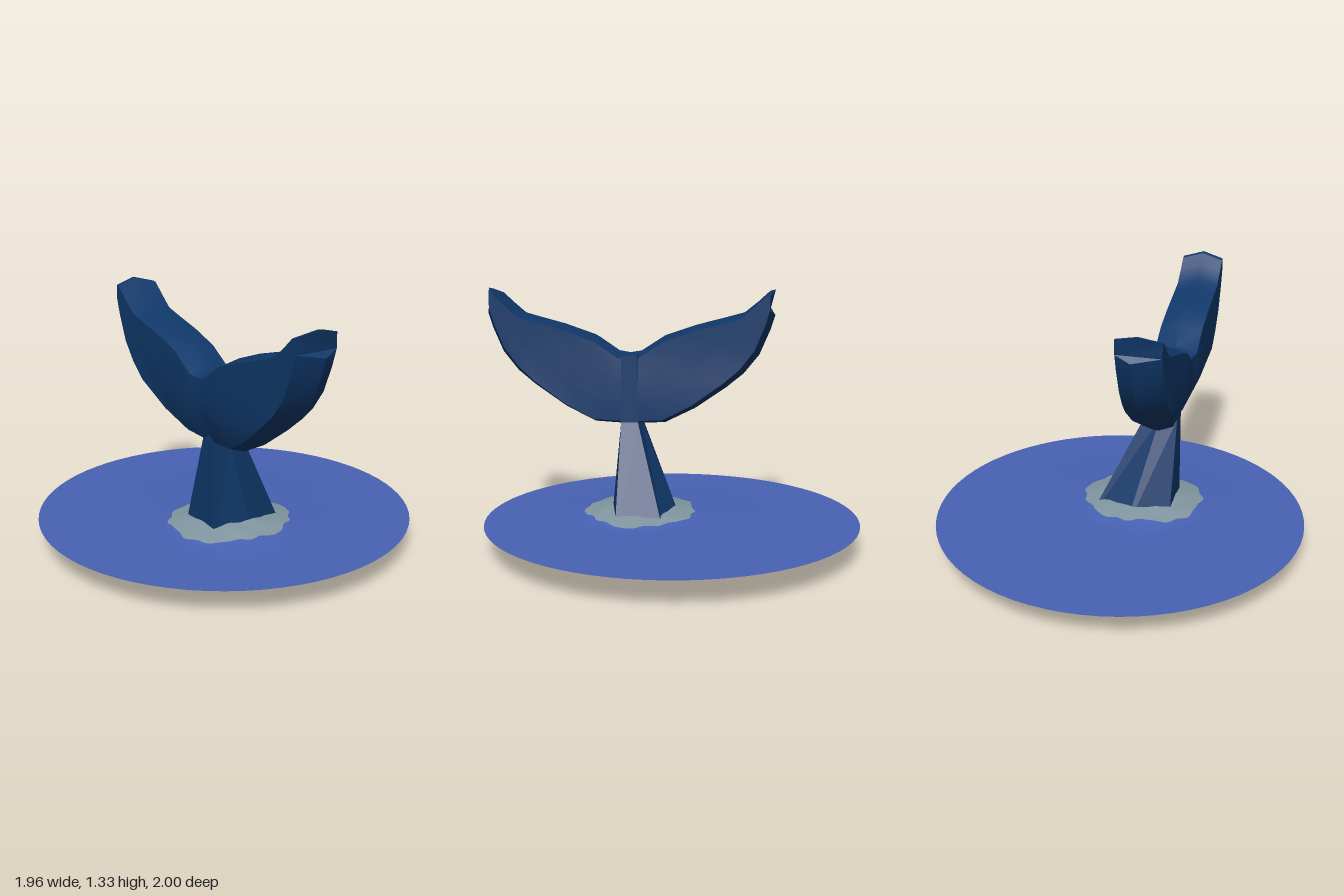
import * as THREE from 'three';
import { toCreasedNormals } from 'three/addons/utils/BufferGeometryUtils.js';

const skin = new THREE.MeshStandardMaterial({ color: 0x10386a });
skin.name = 'deep blue skin';
const waterBlue = new THREE.MeshStandardMaterial({ color: 0x4862b4, side: THREE.DoubleSide });
waterBlue.name = 'water blue';
const foamGrey = new THREE.MeshStandardMaterial({ color: 0x8096a0, side: THREE.DoubleSide });
foamGrey.name = 'foam grey';

// Skin closed rings of points, optionally capping both ends
function loft(rings, capped) {
  const n = rings[0].length, last = (rings.length - 1) * n, index = [];
  for (let i = 0; i < rings.length - 1; i++) {
    for (let j = 0; j < n; j++) {
      const k = (j + 1) % n;
      const a = i * n + j, b = i * n + k, c = b + n, d = a + n;
      index.push(a, b, c, a, c, d);
    }
  }
  if (capped) {
    for (let j = 1; j < n - 1; j++) index.push(0, j + 1, j, last, last + j, last + j + 1);
  }
  const geometry = new THREE.BufferGeometry();
  geometry.setAttribute('position', new THREE.Float32BufferAttribute(rings.flat(2), 3));
  geometry.setIndex(index);
  geometry.computeVertexNormals();
  return geometry;
}

function addMesh(group, name, geometry, material) {
  const mesh = new THREE.Mesh(geometry, material);
  mesh.name = name;
  group.add(mesh);
}

// Both flukes in one sweep along z, mirrored about the notch
function flukes() {
  const midZ = 0.23;
  // distance from the notch, top height, bottom height
  const half = [
    [0, 0.99, 0.61], [0.06, 1.0, 0.61], [0.19, 1.085, 0.617], [0.35, 1.14, 0.697],
    [0.52, 1.185, 0.815], [0.61, 1.21, 0.89], [0.69, 1.275, 0.99],
    [0.745, 1.325, 1.12], [0.77, 1.33, 1.2],
  ];
  const mirrored = half.slice(1).reverse().map(([d, t, b]) => [-d, t, b]);
  const rings = [...mirrored, ...half].map(([d, top, bottom]) => {
    const notch = d === 0 ? 0.015 : 0;
    const z = midZ + d, sideZ = midZ + d * 0.965;
    const hi = top - 0.028, lo = bottom + 0.028;
    const heights = [0, 0.33, 0.67, 1].map((s) => lo + (hi - lo) * s);
    const right = (y) => -0.09 - 0.02 * THREE.MathUtils.smoothstep(y, 0.75, 1.0);
    const left = (y) => -0.265 - 0.07 * Math.min(1, Math.max(0, (y - 0.64) / 0.16)) + notch;
    return [
      ...heights.map((y) => [right(y), y, sideZ]),
      [-0.22, top, z],
      ...heights.reverse().map((y) => [left(y), y, sideZ]),
      [-0.19, bottom, z],
    ];
  });
  return toCreasedNormals(loft(rings, true), 0.55);
}

// Six-sided stalk, broad at the base and running up into the notch
function stalk() {
  const ring = (y, xl, xr, xm, z0, z1, m0, m1, lift) => [
    [xr, y, z1], [xr, y, z0], [xm, y + lift, m0], [xl, y, z0], [xl, y, z1], [xm, y + lift, m1],
  ];
  const rings = [
    ring(0, -0.265, 0.21, -0.03, -0.02, 0.265, -0.1, 0.32, 0.015),
    ring(0.63, -0.262, -0.087, -0.17, 0.175, 0.265, 0.165, 0.275, 0),
    ring(0.985, -0.25, -0.098, -0.17, 0.18, 0.265, 0.175, 0.27, 0),
  ];
  return toCreasedNormals(loft(rings, true), 0.1);
}

// Water disc swelling to a foamy mound around the stalk
const SEGMENTS = 72, CENTRE_X = -0.085, CENTRE_Z = 0.16, LEVEL = 0.138;

function foamRadius(a) {
  return 0.305 + 0.018 * Math.cos(2 * a) + 0.01 * Math.sin(5 * a + 1)
    + 0.007 * Math.sin(11 * a) + 0.005 * Math.sin(17 * a + 2);
}

function moundRing(radiusAt) {
  return Array.from({ length: SEGMENTS }, (_, j) => {
    const a = (j / SEGMENTS) * Math.PI * 2, r = radiusAt(a);
    const rise = Math.min(1, Math.max(0, (0.38 - r) / 0.26));
    const ripple = 0.006 * rise * Math.sin(7 * a + r * 30);
    return [CENTRE_X + r * Math.cos(a), LEVEL + 0.06 * rise + ripple, CENTRE_Z + r * Math.sin(a)];
  });
}

function discRing(radius) {
  return Array.from({ length: SEGMENTS }, (_, j) => {
    const a = (j / SEGMENTS) * Math.PI * 2;
    return [radius * Math.cos(a), LEVEL, -0.016 + radius * Math.sin(a)];
  });
}

export function createModel() {
  const group = new THREE.Group();
  group.name = 'whaleTail';
  addMesh(group, 'flukes', flukes(), skin);
  addMesh(group, 'stalk', stalk(), skin);

  const foamRings = [0.3, 0.5, 0.7, 0.85, 1].map((s) => moundRing((a) => s * foamRadius(a)));
  addMesh(group, 'foam', loft(foamRings, false), foamGrey);

  const waterRings = [moundRing(foamRadius), moundRing(() => 0.38), discRing(0.75), discRing(0.982)];
  addMesh(group, 'water', loft(waterRings, false), waterBlue);
  return group;
}
